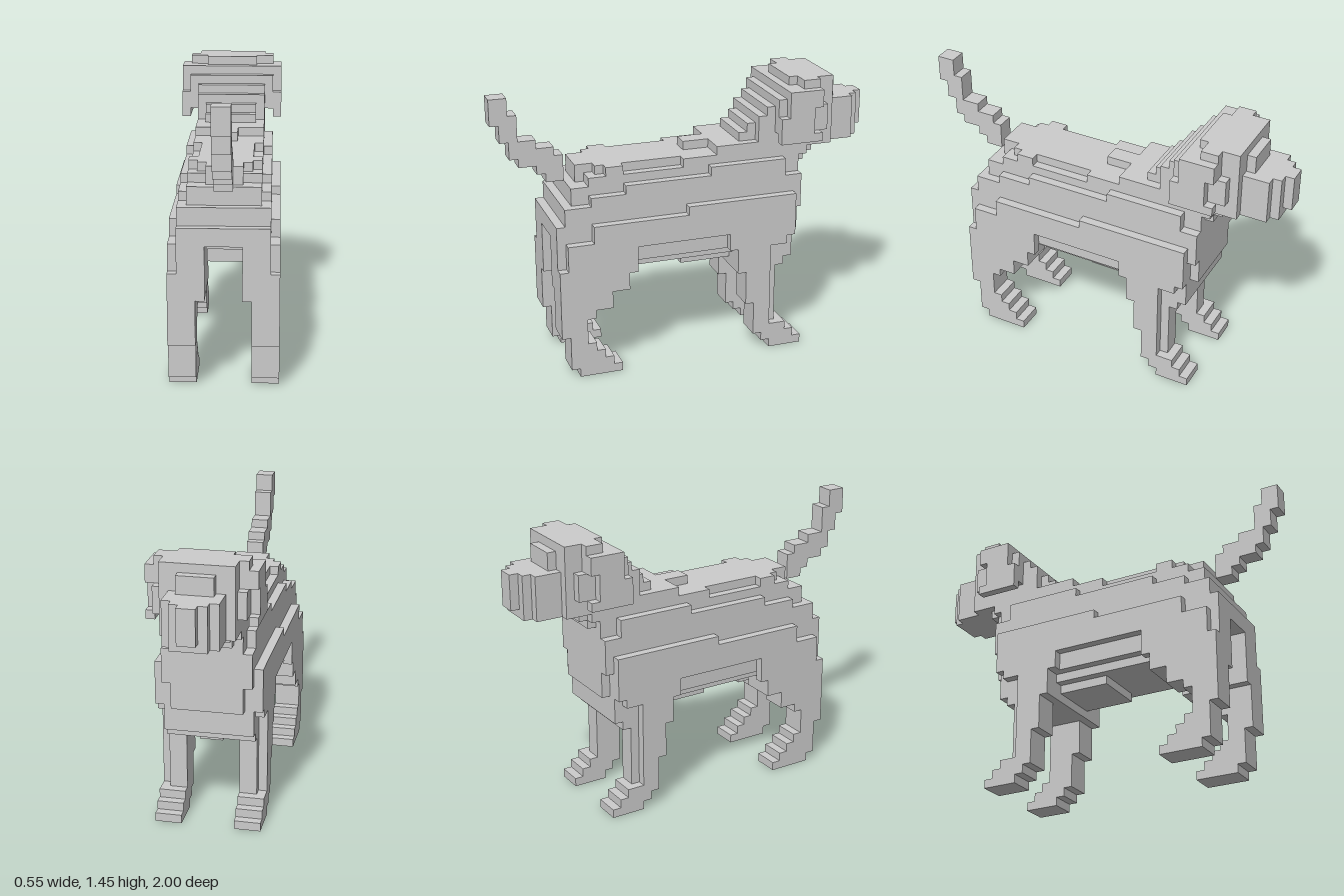
import * as THREE from 'three';

const U = 1 / 22; // size of one block
const material = new THREE.MeshStandardMaterial({ color: 0xcccccc, flatShading: true });

// Slab between x0 and x1 with a stepped side outline.
// steps = [f, y, f, y, ...]: each new f is a horizontal run, each new y a riser;
// f points towards the nose (-z).
function slab(parent, name, x0, x1, steps) {
  const shape = new THREE.Shape();
  shape.moveTo(steps[0] * U, steps[1] * U);
  for (let i = 2; i < steps.length; i += 2) {
    shape.lineTo(steps[i] * U, steps[i - 1] * U);
    shape.lineTo(steps[i] * U, steps[i + 1] * U);
  }
  shape.lineTo(steps[0] * U, steps[steps.length - 1] * U);
  const geo = new THREE.ExtrudeGeometry(shape, { depth: (x1 - x0) * U, bevelEnabled: false });
  geo.rotateY(Math.PI / 2);
  geo.translate(x0 * U, 0, 0);
  const mesh = new THREE.Mesh(geo, material);
  mesh.name = name;
  parent.add(mesh);
}

function middle(parent, name, half, steps) {
  slab(parent, name, -half, half, steps);
}

function pair(parent, name, x0, x1, steps) {
  slab(parent, name + 'Left', x0, x1, steps);
  slab(parent, name + 'Right', -x1, -x0, steps);
}

function group(parent, name) {
  const g = new THREE.Group();
  g.name = name;
  parent.add(g);
  return g;
}

export function createModel() {
  const dog = new THREE.Group();
  dog.name = 'dog';

  // Torso: layers from the spine out to the flanks
  const torso = group(dog, 'torso');
  middle(torso, 'spineCore', 2,
    [-16, 16, -10, 14, -8, 12, -1, 11, 5, 10, 11, 11, 12, 14, 13, 24, -13, 22, -14, 20, -15, 18]);
  pair(torso, 'innerSide', 2, 3,
    [-16, 10, -8, 12, -1, 11, 5, 10, 11, 11, 12, 14, 13, 24, -11, 23, -12, 22, -14, 20, -15, 18]);
  pair(torso, 'rib', 3, 4,
    [-16, 10, -8, 12, 5, 10, 11, 11, 12, 14, 13, 24, -1, 23, -8, 24, -10, 23, -12, 22, -14, 20, -15, 18]);
  pair(torso, 'outerSide', 4, 5,
    [-16, 10, -8, 13, 5, 10, 11, 11, 12, 17, 13, 21, 11, 23, 2, 22, -8, 21, -12, 20, -15, 18]);
  pair(torso, 'flank', 5, 6,
    [-16, 10, -8, 12, -7, 15, 4, 13, 5, 10, 9, 13, 11, 14, 12, 19, -1, 18, -12, 16, -15, 13]);
  middle(torso, 'withersRidge', 1, [0, 24, 6, 25]);
  middle(torso, 'withers', 4, [3, 24, 13, 25]);

  // Legs with stepped paws
  const legs = group(dog, 'legs');
  pair(legs, 'hindLeg', 3, 6,
    [-14, 0, -9, 1, -10, 2, -11, 3, -12, 4, -13, 7, -12, 8, -10, 10, -16, 5, -15, 1]);
  const foreLeg = (front) => [9, 0, 13, 1, 12, 2, 11, 3, front, 10, 6, 6, 7, 2, 8, 1];
  pair(legs, 'foreLeg', 3, 5, foreLeg(10));
  pair(legs, 'foreLegOuter', 5, 6, foreLeg(9));

  // Neck and head
  const head = group(dog, 'head');
  middle(head, 'neck', 3, [6, 24, 13, 22, 14, 23, 15, 29, 9, 28, 8, 27, 7, 26]);
  pair(head, 'neckSide', 3, 4, [8, 22, 13, 23, 14, 24, 15, 29, 9, 28]);
  middle(head, 'skull', 3, [10, 24, 17, 32, 12, 31, 11, 30]);
  pair(head, 'skullSide', 3, 4, [10, 24, 17, 32, 13, 31, 11, 30]);
  pair(head, 'cheek', 4, 5, [10, 26, 16, 29, 15, 32, 13, 31, 11, 30]);
  pair(head, 'ear', 5, 6, [10, 25, 15, 26, 14, 29, 15, 31, 11, 28]);
  middle(head, 'brow', 2, [17, 29, 18, 31]);
  middle(head, 'snout', 3, [17, 24, 20, 29]);
  middle(head, 'muzzle', 2, [20, 24, 21, 29]);
  middle(head, 'nose', 1, [21, 25, 22, 29]);

  // Raised tail
  middle(dog, 'tail', 1,
    [-22, 29, -21, 27, -20, 25, -19, 24, -17, 23, -16, 22, -14, 25, -15, 26, -17, 27, -19, 30, -20, 32]);

  return dog;
}
